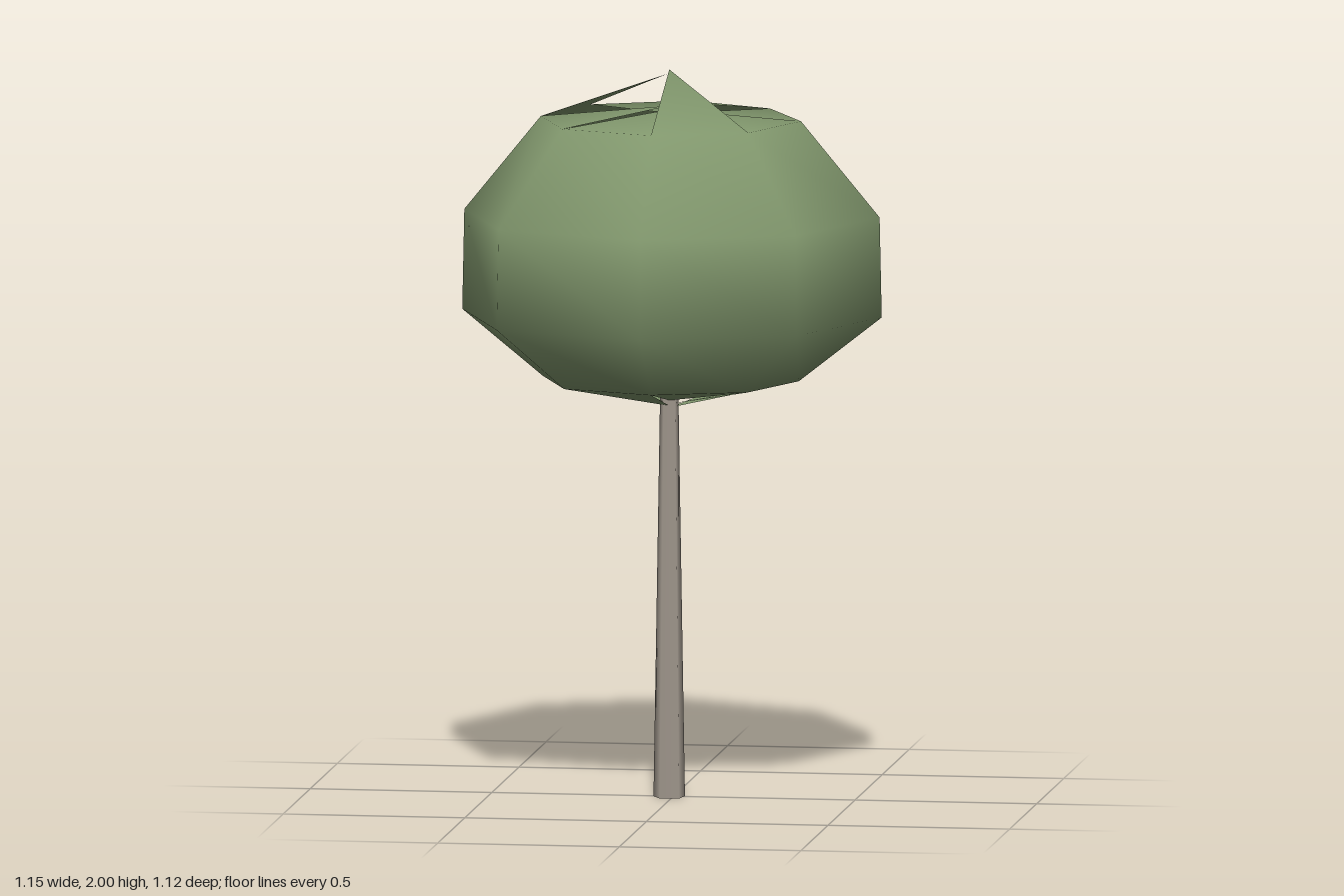
import * as THREE from 'three';

const CX = -0.01, CZ = 0.01; // tree axis

// Outline corners of the crown, counted from -x through +z
const corners = [
  [-0.58, 0.01], [-0.425, 0.412], [-0.01, 0.555], [0.4, 0.405],
  [0.575, 0.01], [0.38, -0.37], [-0.01, -0.565], [-0.418, -0.38],
];
// Height and relative width of each ring
const rings = [[1.865, 0.62], [1.605, 0.99], [1.33, 1], [1.15, 0.61]];
// Separate tip heights leave the uneven slits between the wedges
const topTips = [1.9, 1.89, 2.0, 1.89, 1.88, 1.91, 1.88, 1.99];
const bottomTips = [1.08, 1.085, 1.075, 1.09, 1.08, 1.07, 1.085, 1.08];

function crownGeometry() {
  const geometry = new THREE.SphereGeometry(1, 8, 5);
  geometry.scale(0.58, 0.46, 0.57);
  const position = geometry.attributes.position;
  for (let row = 0; row <= 5; row++) {
    for (let u = 0; u <= 8; u++) {
      const i = row * 9 + u;
      if (row === 0) {
        position.setXYZ(i, CX, topTips[u % 8], CZ);
      } else if (row === 5) {
        position.setXYZ(i, CX, bottomTips[u % 8], CZ);
      } else {
        const [y, width] = rings[row - 1];
        const [x, z] = corners[u % 8];
        position.setXYZ(i, CX + (x - CX) * width, y, CZ + (z - CZ) * width);
      }
    }
  }
  return geometry;
}

export function createModel() {
  const foliage = new THREE.MeshStandardMaterial({ color: 0x80966c, side: THREE.DoubleSide });
  foliage.name = 'foliage green';
  const bark = new THREE.MeshStandardMaterial({ color: 0xa59c91 });
  bark.name = 'bark grey';

  const tree = new THREE.Group();
  tree.name = 'tree';

  // Rounded leafy crown
  const crown = new THREE.Mesh(crownGeometry(), foliage);
  crown.name = 'crown';

  // Tapered trunk, one corner towards the front diagonal
  const trunk = new THREE.Mesh(
    new THREE.CylinderGeometry(0.026, 0.045, 1.12, 5, 1, false, Math.PI / 4), bark);
  trunk.position.set(CX, 0.56, CZ);
  trunk.name = 'trunk';

  tree.add(crown, trunk);
  return tree;
}
